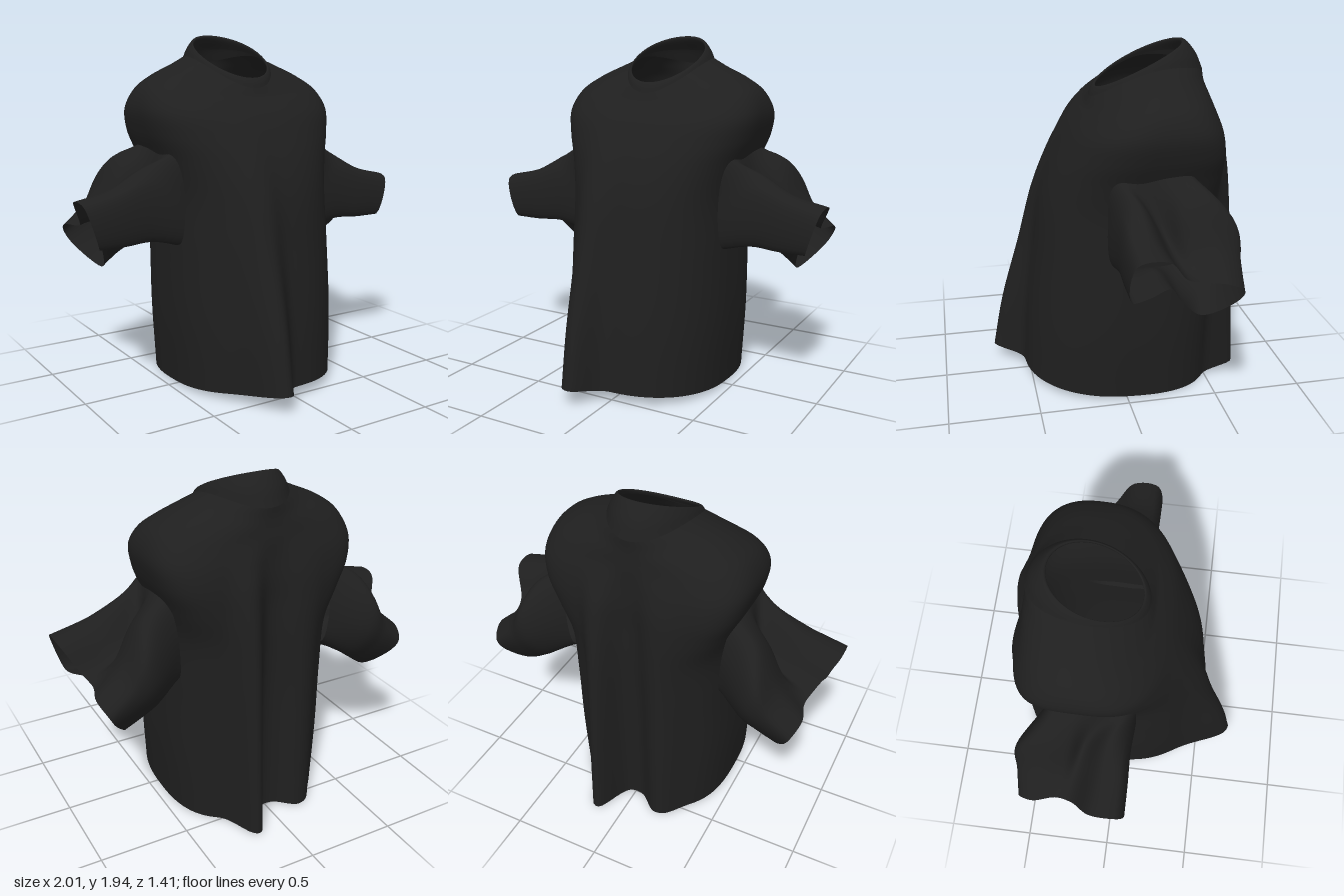
import * as THREE from 'three';

const cloth = new THREE.MeshStandardMaterial({ color: 0x1f1f1f, side: THREE.DoubleSide });
cloth.name = 'black cloth';

// Smooth open skin through closed rings of equal point count
function loft(rings, steps) {
  const n = rings[0].length, pos = [], index = [];
  const lines = rings[0].map((_, j) => new THREE.CatmullRomCurve3(rings.map((r) => r[j])));
  for (let i = 0; i <= steps; i++) {
    for (const line of lines) pos.push(...line.getPoint(i / steps).toArray());
  }
  for (let i = 0; i < steps; i++) {
    for (let j = 0; j < n; j++) {
      const a = i * n + j, b = i * n + (j + 1) % n;
      index.push(a, a + n, b, b, a + n, b + n);
    }
  }
  const geo = new THREE.BufferGeometry();
  geo.setAttribute('position', new THREE.Float32BufferAttribute(pos, 3));
  geo.setIndex(index);
  geo.computeVertexNormals();
  return geo;
}

const bump = (x, at, width) => Math.exp(-(Math.abs((x - at) / width) ** 2.6));

// Tilted oval: half width, front z, back z, heights at front, side and back,
// squareness of front and back, depth of front folds, back folds and back valley
function ring([w, zf, zb, yf, ys, yb, sqFront, sqBack, foldFront = 0, foldBack = 0, valley = 0]) {
  const pts = [], n = 160, mid = (zf + zb) / 2, half = (zf - zb) / 2;
  for (let i = 0; i < n; i++) {
    const a = (i / n) * Math.PI * 2, c = Math.cos(a), d = Math.sin(a);
    const e = d > 0 ? sqFront : sqBack;
    const r = (Math.abs(c) ** e + Math.abs(d) ** e) ** (-1 / e);
    const x = w * r * c, s = r * d;
    const gate = Math.min(1, Math.abs(s) * 1.5);
    const crease = bump(x, -0.18, 0.105);
    let z = mid + half * s;
    let y = ys + s * (yf - yb) / 2 + s * s * ((yf + yb) / 2 - ys);
    if (s > 0) {
      z += gate * foldFront * 0.2 * crease;
      y += gate * Math.max(0, foldFront - 0.8) * 0.2 * crease;
    } else {
      z -= gate * foldBack * (0.18 * bump(x, 0.16, 0.075) + 0.07 * bump(x, -0.2, 0.09));
      z += gate * valley * bump(x, -0.01, 0.08);
    }
    pts.push(new THREE.Vector3(x, y, z));
  }
  return pts;
}

function add(group, name, geo) {
  const mesh = new THREE.Mesh(geo, cloth);
  mesh.name = name;
  group.add(mesh);
}

// Sleeve sections as [x, y, z]: armhole, crumpled elbow, forearm, cuff
const armhole = [
  [0.44, 0.84, 0.09], [0.44, 1.1, 0.11], [0.46, 1.33, 0.09], [0.49, 1.37, -0.06],
  [0.49, 1.37, -0.2], [0.49, 1.34, -0.32], [0.47, 1.18, -0.38], [0.46, 1.03, -0.39],
  [0.45, 0.9, -0.36], [0.44, 0.83, -0.25], [0.44, 0.81, -0.1], [0.44, 0.81, 0.02],
];
const elbow = [
  [0.62, 0.87, 0.08], [0.64, 1.16, 0.08], [0.63, 1.25, -0.01], [0.62, 1.07, -0.15],
  [0.66, 1.19, -0.22], [0.65, 1.27, -0.36], [0.68, 1.13, -0.5], [0.65, 0.95, -0.51],
  [0.59, 0.79, -0.38], [0.59, 0.8, -0.22], [0.61, 0.88, -0.1], [0.62, 0.86, 0],
];
const forearm = [
  [0.78, 0.86, 0.085], [0.82, 1.12, 0.08], [0.82, 1.14, -0.04], [0.76, 0.98, -0.18],
  [0.77, 1.02, -0.25], [0.79, 1.04, -0.39], [0.78, 0.97, -0.5], [0.75, 0.86, -0.49],
  [0.67, 0.72, -0.35], [0.69, 0.78, -0.21], [0.73, 0.88, -0.11], [0.77, 0.865, 0],
];
const cuff = [
  [0.93, 0.86, 0.09], [1.0, 1.08, 0.08], [1.0, 1.09, -0.07], [0.92, 0.95, -0.19],
  [0.9, 0.92, -0.28], [0.93, 0.91, -0.4], [0.9, 0.85, -0.49], [0.86, 0.78, -0.47],
  [0.75, 0.66, -0.32], [0.79, 0.77, -0.2], [0.86, 0.88, -0.12], [0.92, 0.87, 0],
];

function sleeve(side) {
  const rings = [armhole, elbow, forearm, cuff].map((section) => {
    const pts = section.map(([x, y, z]) => new THREE.Vector3(side * x, y, z));
    if (side < 0) pts.reverse();
    const curve = new THREE.CatmullRomCurve3(pts, true);
    return Array.from({ length: 72 }, (_, i) => curve.getPoint(i / 72));
  });
  return loft(rings, 30);
}

export function createModel() {
  const shirt = new THREE.Group();
  shirt.name = 'shirt';

  // Body from hem to collar seam
  const body = [
    [0.45, 0.53, -0.54, 0.07, 0.02, 0.01, 2.2, 2.9, 1, 1, 0.04],
    [0.47, 0.51, -0.545, 0.41, 0.4, 0.4, 2.2, 2.9, 0.78, 0.85, 0.04],
    [0.465, 0.465, -0.55, 0.8, 0.8, 0.8, 2.3, 3, 0.42, 0.68, 0.04],
    [0.46, 0.425, -0.56, 1.1, 1.1, 1.1, 2.4, 3.3, 0.2, 0.48, 0.04],
    [0.5, 0.375, -0.56, 1.27, 1.28, 1.28, 2.4, 4.2, 0.1, 0.34, 0.04],
    [0.555, 0.315, -0.555, 1.4, 1.42, 1.42, 2.4, 4.4, 0.05, 0.22, 0.03],
    [0.577, 0.25, -0.54, 1.51, 1.55, 1.53, 2.5, 3.8, 0, 0.08, 0.02],
    [0.535, 0.19, -0.515, 1.58, 1.655, 1.63, 2.4, 3],
    [0.44, 0.155, -0.505, 1.615, 1.725, 1.69, 2.3, 2.5],
    [0.32, 0.14, -0.5, 1.64, 1.78, 1.74, 2.1, 2.1],
    [0.225, 0.13, -0.5, 1.66, 1.82, 1.79, 2, 2],
  ];
  add(shirt, 'body', loft(body.map(ring), 70));

  // Collar band, turned in at the top edge
  const collar = [
    [0.225, 0.13, -0.5, 1.66, 1.82, 1.79, 2, 2],
    [0.213, 0.118, -0.46, 1.69, 1.84, 1.88, 2, 2],
    [0.2, 0.098, -0.395, 1.715, 1.845, 1.95, 2, 2],
    [0.197, 0.09, -0.38, 1.71, 1.835, 1.94, 2, 2],
    [0.205, 0.105, -0.43, 1.68, 1.82, 1.87, 2, 2],
  ];
  add(shirt, 'collar', loft(collar.map(ring), 20));

  // Crumpled sleeves, mirrored
  add(shirt, 'leftSleeve', sleeve(1));
  add(shirt, 'rightSleeve', sleeve(-1));
  return shirt;
}
